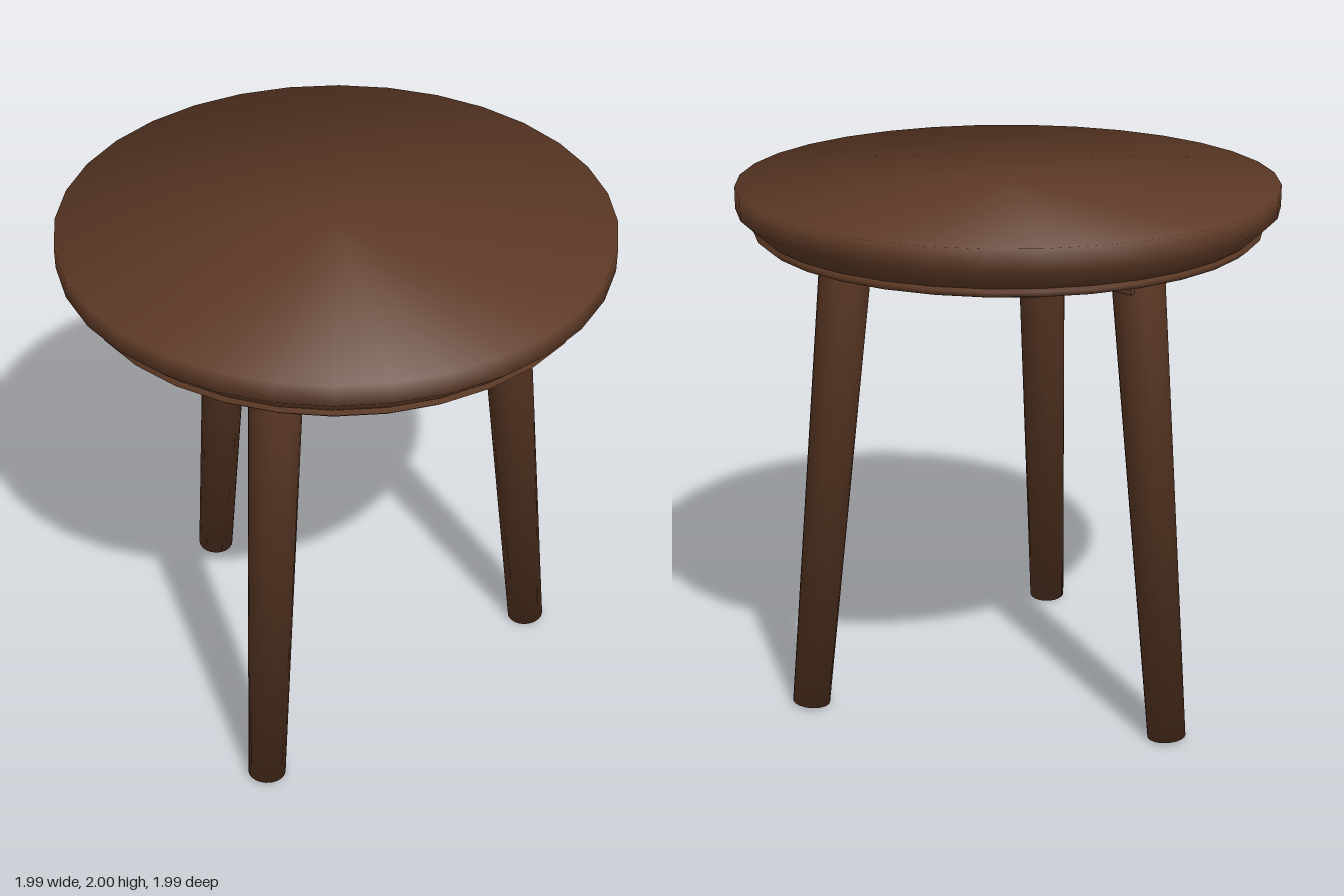
import * as THREE from 'three';

// Surface of revolution; profile runs from bottom to top as [radius, y].
// Normals average the neighbouring profile segments equally, for soft rims.
function turned(name, profile, segments, material) {
  const points = profile.map(([r, y]) => new THREE.Vector2(r, y));
  const geometry = new THREE.LatheGeometry(points, segments);
  const facing = points.slice(1).map((p, j) =>
    new THREE.Vector2(p.y - points[j].y, points[j].x - p.x).normalize());
  const normal = geometry.attributes.normal;
  for (let k = 0; k < normal.count; k++) {
    const j = k % points.length;
    const phi = (Math.floor(k / points.length) / segments) * Math.PI * 2;
    const n = facing[Math.max(j - 1, 0)].clone().add(facing[Math.min(j, facing.length - 1)]).normalize();
    normal.setXYZ(k, n.x * Math.sin(phi), n.y, n.x * Math.cos(phi));
  }
  const mesh = new THREE.Mesh(geometry, material);
  mesh.name = name;
  return mesh;
}

// U-shaped bracket hugging the inner side of a leg; its round end points to -x
function makeCollar(material) {
  const shape = new THREE.Shape();
  shape.moveTo(0.068, -0.093);
  shape.lineTo(0.068, 0.093);
  shape.lineTo(0, 0.093);
  shape.absarc(0, 0, 0.093, Math.PI / 2, Math.PI * 1.5, false);
  shape.lineTo(0.068, -0.093);
  const geometry = new THREE.ExtrudeGeometry(shape, {
    depth: 0.042, bevelThickness: 0.008, bevelSize: 0.008, bevelSegments: 2, curveSegments: 14,
  });
  geometry.rotateX(-Math.PI / 2);
  const mesh = new THREE.Mesh(geometry, material);
  mesh.name = 'collar';
  mesh.position.set(0.59, 1.714, 0);
  return mesh;
}

export function createModel() {
  const model = new THREE.Group();
  model.name = 'stool';
  const wood = new THREE.MeshStandardMaterial({ color: 0x5e3a26 });
  wood.name = 'dark brown wood';

  // Round seat: flat top, tapered side, a raised lip below and a recessed underside
  const seat = new THREE.Group();
  seat.name = 'seat';
  seat.add(
    turned('seatTop', [[0.9, 1.835], [0.915, 1.845], [0.995, 1.92], [0.995, 2], [0, 2]], 32, wood),
    turned('seatLip',
      [[0.85, 1.85], [0.85, 1.808], [0.865, 1.8], [0.905, 1.812], [0.935, 1.837], [0.89, 1.847]], 32, wood),
    turned('seatUnderside', [[0, 1.845], [0.86, 1.845]], 32, wood),
  );
  model.add(seat);

  // Three splayed, tapered legs, each with a bracket on its inner side
  const foot = new THREE.Vector2(0.797, 0.007);
  const head = new THREE.Vector2(0.605, 1.86);
  const length = foot.distanceTo(head);
  for (let i = 0; i < 3; i++) {
    const legUnit = new THREE.Group();
    legUnit.name = 'legWithCollar' + (i + 1);

    const leg = turned('leg', [[0, 0], [0.071, 0], [0.097, length]], 20, wood);
    leg.position.set(foot.x, foot.y, 0);
    leg.rotation.z = Math.atan2(foot.x - head.x, head.y - foot.y);

    legUnit.add(leg, makeCollar(wood));
    legUnit.rotation.y = (i * Math.PI * 2) / 3;
    model.add(legUnit);
  }
  return model;
}
